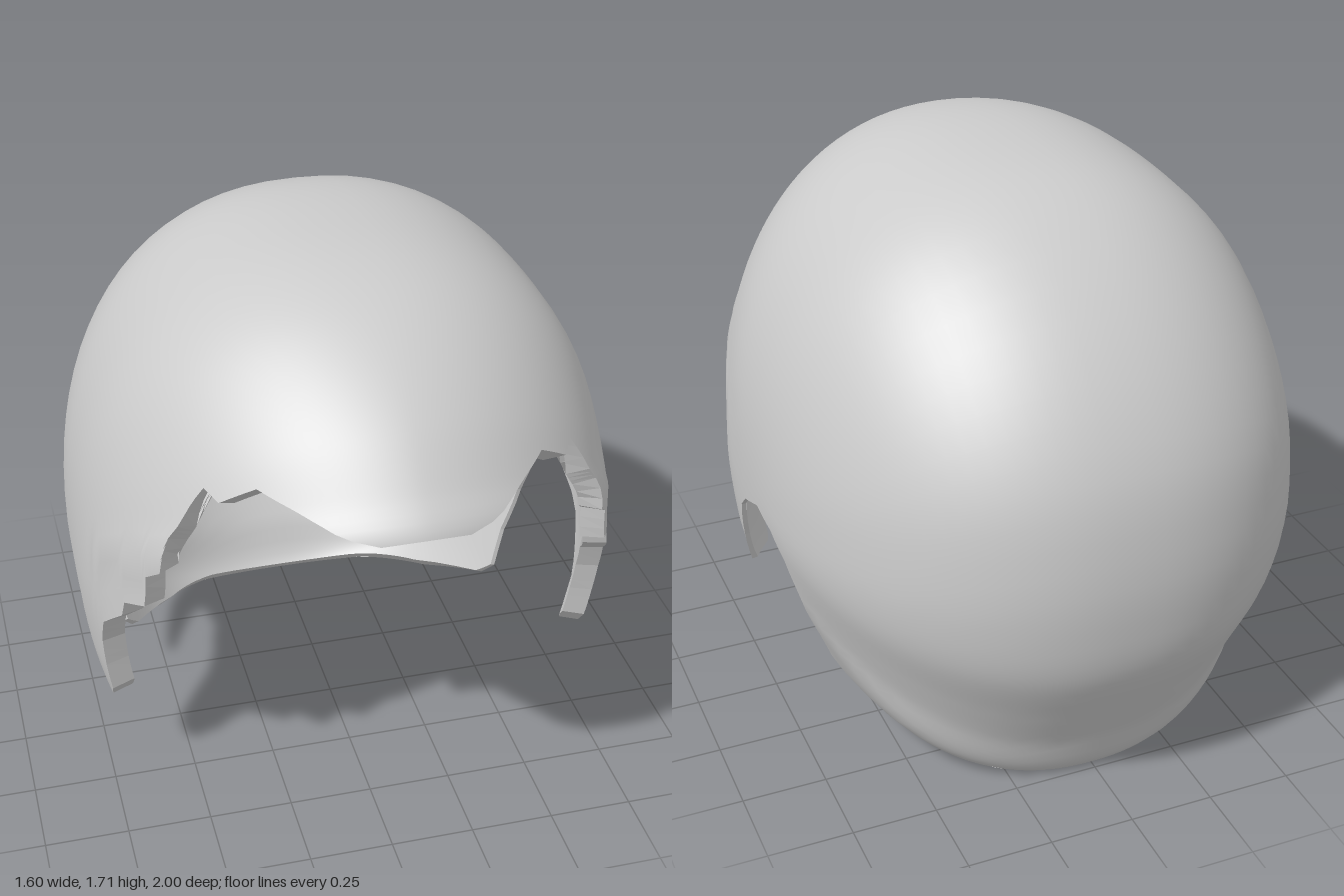
import * as THREE from 'three';

const PIVOT_Y = 0.75, WIDTH = 0.8, SHELL = 0.025;
const COLS = 40, STEPS = 3;

// Side profile of the dome (z, y), closed below the face and neck
const PROFILE = [
  [1, 1.27], [0.92, 1.36], [0.8, 1.48], [0.64, 1.59], [0.47, 1.67], [0.3, 1.71], [0.05, 1.72],
  [-0.3, 1.69], [-0.5, 1.61], [-0.7, 1.46], [-0.86, 1.27], [-0.96, 1.07], [-1, 0.85], [-1, 0.68],
  [-0.97, 0.5], [-0.87, 0.3], [-0.8, 0.17], [-0.72, 0.005], [-0.4, -0.13], [0, -0.25],
  [0.6, -0.12], [0.95, 0.4], [1, 0.8], [1, 1.05],
];

// Hairline from forehead peak to nape: z, y, and the crown angle each point combs up to
const HAIRLINE = [
  [0.985, 1.26, 27.5], [0.9, 1.29, 31], [0.83, 1.31, 35], [0.75, 1.33, 40], [0.7, 1.27, 44],
  [0.64, 1.29, 48], [0.635, 1.17, 52], [0.625, 1.13, 54], [0.625, 1.02, 57], [0.575, 0.98, 60],
  [0.57, 0.88, 63], [0.485, 0.84, 67], [0.475, 0.79, 69], [0.36, 0.69, 74], [0.33, 0.6, 78],
  [0.315, 0.5, 81], [0.305, 0.4, 86], [0.27, 0.355, 91], [0.19, 0.36, 100],
  [0.15, 0.48, 104], [0.1, 0.62, 108], [0.03, 0.68, 117], [-0.1, 0.73, 135], [-0.2, 0.7, 150],
  [-0.26, 0.63, 164], [-0.28, 0.5, 177], [-0.27, 0.35, 187], [-0.23, 0.24, 193], [-0.27, 0.19, 198],
  [-0.5, 0.085, 209], [-0.6, 0.055, 218], [-0.67, 0.035, 225.8],
];

const TAU = Math.PI * 2;
const wrap = (a) => ((a % TAU) + TAU) % TAU;
const { lerp, smoothstep, degToRad } = THREE.MathUtils;

// Radius of the smoothed profile at any angle about the pivot
const polar = new THREE.CatmullRomCurve3(
  PROFILE.map(([z, y]) => new THREE.Vector3(z, y - PIVOT_Y, 0)), true, 'centripetal',
).getPoints(480).map((p) => ({ a: wrap(Math.atan2(p.y, p.x)), r: Math.hypot(p.x, p.y) }))
  .sort((p, q) => p.a - q.a);

function profileRadius(angle) {
  const a = wrap(angle);
  let k = polar.findIndex((p) => p.a > a);
  if (k < 0) k = 0;
  const p1 = polar[k], p0 = polar[(k + polar.length - 1) % polar.length];
  const span = wrap(p1.a - p0.a);
  return lerp(p0.r, p1.r, span > 1e-9 ? wrap(a - p0.a) / span : 0);
}

// Fraction of the profile reached at a side-view point, the roundness there,
// and the width, which tucks in behind the ears
function section(z, y) {
  const angle = Math.atan2(y - PIVOT_Y, z);
  const front = Math.max(0, Math.cos(angle - 0.52)) ** 6;
  const tuck = smoothstep(-y, -0.75, -0.25) * smoothstep(-z, -0.05, 0.22);
  return {
    f: Math.hypot(z, y - PIVOT_Y) / profileRadius(angle),
    p: 2.3 - 0.1 * front,
    q: 2.25 - 0.48 * front,
    w: WIDTH * (1 - 0.08 * tuck),
  };
}

function halfWidth(z, y) {
  const { f, p, q, w } = section(z, y);
  return w * Math.max(0, 1 - f ** p) ** (1 / q);
}

// Outward direction of the dome, from the slope of its implicit function
function domeNormal({ x, y, z }) {
  const field = (px, py, pz) => {
    const { f, p, q, w } = section(pz, py);
    return f ** p + (Math.abs(px) / w) ** q;
  };
  const e = 0.02;
  return new THREE.Vector3(
    field(x + e, y, z) - field(x - e, y, z),
    field(x, y + e, z) - field(x, y - e, z),
    field(x, y, z + e) - field(x, y, z - e),
  ).normalize();
}

// Lip thickness: full along the fringe, thin around the ear, medium at the nape
const lipThickness = (deg) =>
  0.015 + 0.055 * (1 - smoothstep(deg, 88, 102)) + 0.04 * smoothstep(deg, 193, 209);

// Rows run from the forehead to the nape, columns from the right hairline to the left one
function buildShell() {
  const outer = [], inner = [], normals = [];
  const rows = (HAIRLINE.length - 1) * STEPS;
  for (let i = 0; i <= rows; i++) {
    const k = Math.min(Math.floor(i / STEPS), HAIRLINE.length - 2);
    const [z, y, deg] = HAIRLINE[k].map((v, n) => lerp(v, HAIRLINE[k + 1][n], i / STEPS - k));
    const a = degToRad(deg), r = profileRadius(a);
    const topZ = Math.cos(a) * r, topY = PIVOT_Y + Math.sin(a) * r;
    const endRow = i === 0 || i === rows;
    for (let j = 0; j <= COLS; j++) {
      const u = (2 * j) / COLS - 1;
      const pz = lerp(topZ, z, u * u), py = lerp(topY, y, u * u);
      const point = new THREE.Vector3(Math.sign(u) * halfWidth(pz, py), py, pz);
      if (u === 0) point.x = 0;
      const normal = domeNormal(point);
      const depth = lerp(SHELL, lipThickness(deg), endRow ? 1 : u ** 8);
      outer.push(point);
      normals.push(normal);
      inner.push(point.clone().addScaledVector(normal, -depth));
    }
  }
  return { outer, inner, normals, rows };
}

function surface(points, normals, rows, inward) {
  const index = [];
  const n = COLS + 1;
  for (let i = 0; i < rows; i++) {
    for (let j = 0; j < COLS; j++) {
      const a = i * n + j, b = a + 1, c = a + n, d = c + 1;
      if (inward) index.push(a, c, b, b, c, d);
      else index.push(a, b, c, b, d, c);
    }
  }
  const geometry = new THREE.BufferGeometry().setFromPoints(points);
  const sign = inward ? -1 : 1;
  geometry.setAttribute('normal', new THREE.Float32BufferAttribute(
    normals.flatMap((v) => [v.x * sign, v.y * sign, v.z * sign]), 3));
  geometry.setIndex(index);
  return geometry;
}

// Band joining the outer and inner surfaces around the whole hairline
function edgeBand(outer, inner, rows) {
  const n = COLS + 1, loop = [];
  for (let j = 0; j < COLS; j++) loop.push(j);
  for (let i = 0; i < rows; i++) loop.push(i * n + COLS);
  for (let j = COLS; j > 0; j--) loop.push(rows * n + j);
  for (let i = rows; i > 0; i--) loop.push(i * n);
  const tris = [];
  loop.forEach((a, k) => {
    const b = loop[(k + 1) % loop.length];
    tris.push(outer[b], outer[a], inner[a], outer[b], inner[a], inner[b]);
  });
  const geometry = new THREE.BufferGeometry().setFromPoints(tris);
  geometry.computeVertexNormals();
  return geometry;
}

export function createModel() {
  const group = new THREE.Group();
  group.name = 'hair';
  const material = new THREE.MeshStandardMaterial({ color: 0xcccccc, side: THREE.DoubleSide });
  const add = (name, geometry) => {
    const mesh = new THREE.Mesh(geometry, material);
    mesh.name = name;
    group.add(mesh);
  };

  const { outer, inner, normals, rows } = buildShell();
  add('outerHair', surface(outer, normals, rows, false));
  add('innerHair', surface(inner, normals, rows, true));
  add('hairlineEdge', edgeBand(outer, inner, rows));
  return group;
}
